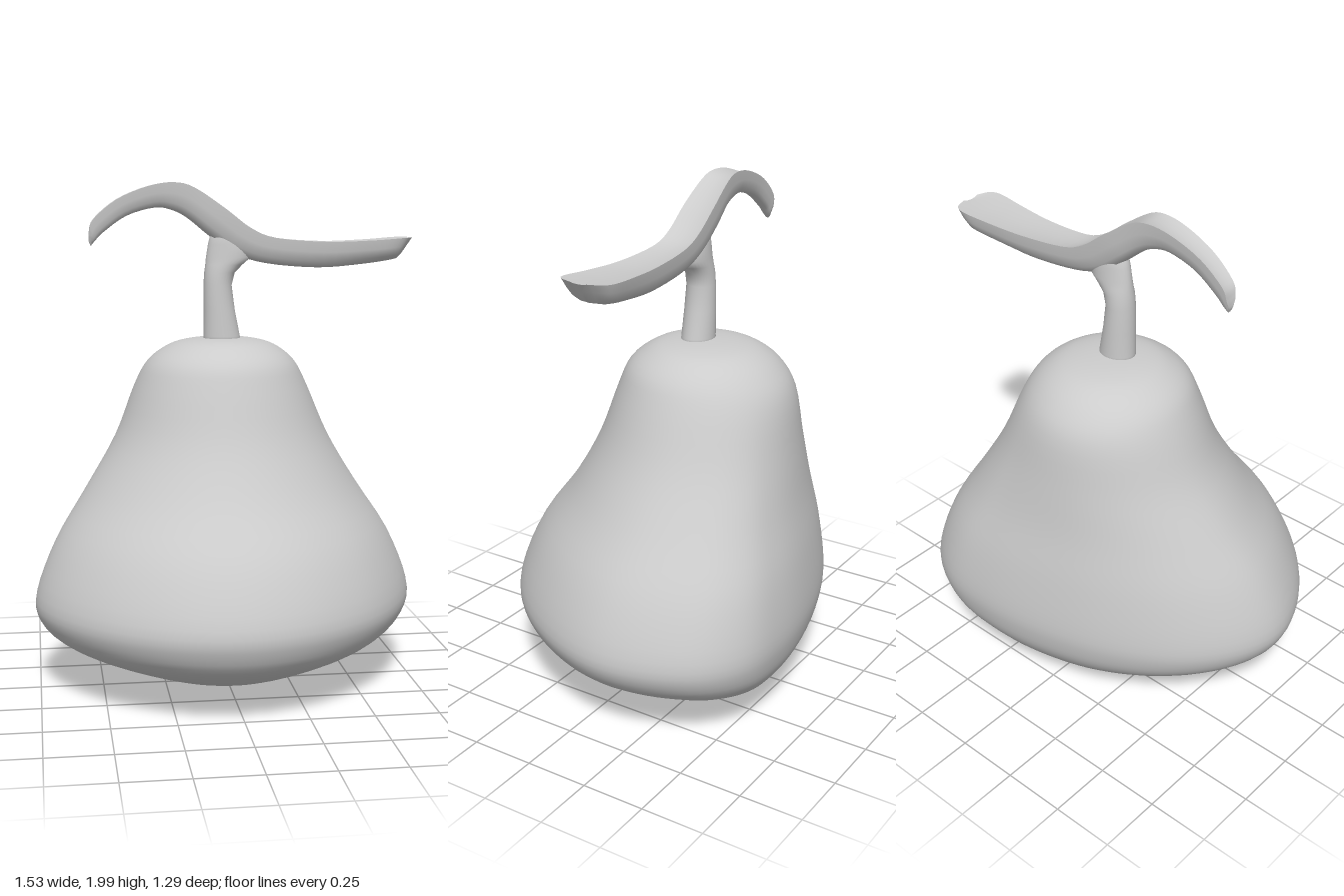
import * as THREE from 'three';
import { toCreasedNormals } from 'three/addons/utils/BufferGeometryUtils.js';

const grey = () => new THREE.MeshStandardMaterial({ color: 0xcccccc });

// Skin closed rings of Vector3 (counter-clockwise about the travel direction) and cap both ends.
function loft(rings) {
  const n = rings[0].length;
  const pts = rings.flat();
  const index = [];
  for (let i = 0; i < rings.length - 1; i++) {
    for (let j = 0; j < n; j++) {
      const k = (j + 1) % n;
      const a = i * n + j, b = i * n + k, c = a + n, d = b + n;
      index.push(a, b, d, a, d, c);
    }
  }
  [rings[0], rings[rings.length - 1]].forEach((ring, end) => {
    const centre = ring.reduce((s, p) => s.add(p), new THREE.Vector3()).divideScalar(n);
    const base = end ? (rings.length - 1) * n : 0;
    const mid = pts.push(centre) - 1;
    for (let j = 0; j < n; j++) {
      const k = (j + 1) % n;
      if (end) index.push(mid, base + j, base + k);
      else index.push(mid, base + k, base + j);
    }
  });
  const geo = new THREE.BufferGeometry().setFromPoints(pts);
  geo.setIndex(index);
  geo.computeVertexNormals();
  return geo;
}

// Smooth interpolation of a table of stations, three columns per curve.
function smooth(rows, columns, count) {
  const curve = new THREE.CatmullRomCurve3(
    rows.map(r => new THREE.Vector3(...columns.map(c => r[c]))), false, 'catmullrom', 0.5);
  return curve.getPoints(count);
}

function createBody() {
  // Lopsided outline at the widest level (x, z)
  const outline = new THREE.CatmullRomCurve3([
    [-0.76, 0], [-0.69, 0.22], [-0.5, 0.45], [-0.25, 0.6], [0, 0.64], [0.25, 0.58],
    [0.5, 0.41], [0.68, 0.16], [0.76, -0.1], [0.73, -0.32], [0.62, -0.52], [0.46, -0.62],
    [0.25, -0.64], [0, -0.61], [-0.3, -0.52], [-0.55, -0.37], [-0.71, -0.18],
  ].map(([x, z]) => new THREE.Vector3(x / 0.76, 0, z / 0.64)), true).getPoints(96).slice(0, -1);

  // Levels: y, x min, x max, z back, z front, share of the lopsided outline
  const levels = [
    [0.006, -0.04, 0.04, -0.14, -0.06, 1],
    [0.02, -0.17, 0.17, -0.27, 0.07, 1],
    [0.05, -0.3, 0.3, -0.4, 0.2, 1],
    [0.11, -0.47, 0.47, -0.52, 0.38, 1],
    [0.2, -0.66, 0.66, -0.6, 0.56, 1],
    [0.29, -0.75, 0.75, -0.633, 0.63, 1],
    [0.4, -0.76, 0.76, -0.64, 0.64, 1],
    [0.6, -0.68, 0.68, -0.61, 0.55, 0.92],
    [0.8, -0.555, 0.55, -0.56, 0.4, 0.7],
    [1.0, -0.435, 0.43, -0.52, 0.285, 0.35],
    [1.2, -0.355, 0.34, -0.48, 0.21, 0.05],
    [1.3, -0.3, 0.285, -0.42, 0.165, 0],
    [1.36, -0.22, 0.21, -0.34, 0.09, 0],
    [1.385, -0.14, 0.13, -0.25, 0.02, 0],
    [1.395, -0.04, 0.03, -0.14, -0.08, 0],
  ];
  const count = (levels.length - 1) * 4;
  const xs = smooth(levels, [1, 0, 2], count);
  const zs = smooth(levels, [3, 5, 4], count);
  const rings = xs.map((a, i) => {
    const b = zs[i];
    const w = THREE.MathUtils.clamp(b.y, 0, 1);
    const shape = outline.map(p => p.clone().normalize().lerp(p, w));
    const mx = Math.max(...shape.map(p => Math.abs(p.x)));
    const mz = Math.max(...shape.map(p => Math.abs(p.z)));
    return shape.map(p => new THREE.Vector3(
      (a.x + a.z) / 2 + (p.x / mx) * (a.z - a.x) / 2,
      a.y,
      (b.x + b.z) / 2 + (p.z / mz) * (b.z - b.x) / 2));
  });
  return loft(rings);
}

function createStem() {
  // Levels: y, x min, x max, half depth
  const levels = [
    [1.35, -0.085, 0.075, 0.065], [1.4, -0.08, 0.065, 0.063], [1.5, -0.08, 0.045, 0.06],
    [1.6, -0.08, 0.032, 0.056], [1.65, -0.077, 0.045, 0.055], [1.68, -0.073, 0.075, 0.054],
    [1.71, -0.07, 0.11, 0.053], [1.76, -0.062, 0.1, 0.05], [1.83, -0.045, 0.05, 0.04],
  ];
  const rings = levels.map(([y, x0, x1, d]) => Array.from({ length: 32 }, (_, j) => {
    const t = (j / 32) * Math.PI * 2;
    return new THREE.Vector3(
      (x0 + x1) / 2 + Math.cos(t) * (x1 - x0) / 2, y, -0.095 - Math.sin(t) * d);
  }));
  return loft(rings);
}

function createLeaf() {
  // Boat-shaped section: across (-1..1), height (0 keel, 1 rim)
  const section = [
    [1, 1], [0.6, 0.95], [0, 0.93], [-0.6, 0.95], [-1, 1], [-0.93, 0.6],
    [-0.8, 0.25], [-0.5, 0.04], [0, 0], [0.5, 0.04], [0.8, 0.25], [0.93, 0.6],
  ];
  // Stations: rim x, rim y, half width, keel x, keel y
  const stations = [
    [-0.53, 1.775, 0.012, -0.522, 1.755], [-0.528, 1.81, 0.025, -0.505, 1.775],
    [-0.51, 1.86, 0.031, -0.47, 1.81], [-0.42, 1.935, 0.037, -0.38, 1.872],
    [-0.3, 1.985, 0.044, -0.27, 1.903], [-0.2, 2.0, 0.05, -0.2, 1.892],
    [-0.12, 1.98, 0.056, -0.14, 1.86], [0, 1.9, 0.064, -0.06, 1.795],
    [0.1, 1.825, 0.064, 0.04, 1.725], [0.2, 1.786, 0.066, 0.17, 1.685],
    [0.4, 1.77, 0.08, 0.38, 1.667], [0.58, 1.775, 0.096, 0.56, 1.68],
    [0.69, 1.783, 0.104, 0.65, 1.693], [0.735, 1.786, 0.085, 0.685, 1.7],
    [0.755, 1.786, 0.035, 0.7, 1.705],
  ];
  const count = (stations.length - 1) * 4;
  const rim = smooth(stations, [0, 1, 2], count);
  const keel = smooth(stations, [3, 4, 2], count);
  const rings = rim.map((r, i) => section.map(([s, v]) => new THREE.Vector3(
    THREE.MathUtils.lerp(keel[i].x, r.x, v),
    THREE.MathUtils.lerp(keel[i].y, r.y, v),
    -0.097 - s * r.z)));
  return toCreasedNormals(loft(rings), 0.9);
}

export function createModel() {
  const group = new THREE.Group();
  const parts = { fruitBody: createBody(), stem: createStem(), leaf: createLeaf() };
  for (const [name, geometry] of Object.entries(parts)) {
    const mesh = new THREE.Mesh(geometry, grey());
    mesh.name = name;
    group.add(mesh);
  }
  return group;
}
